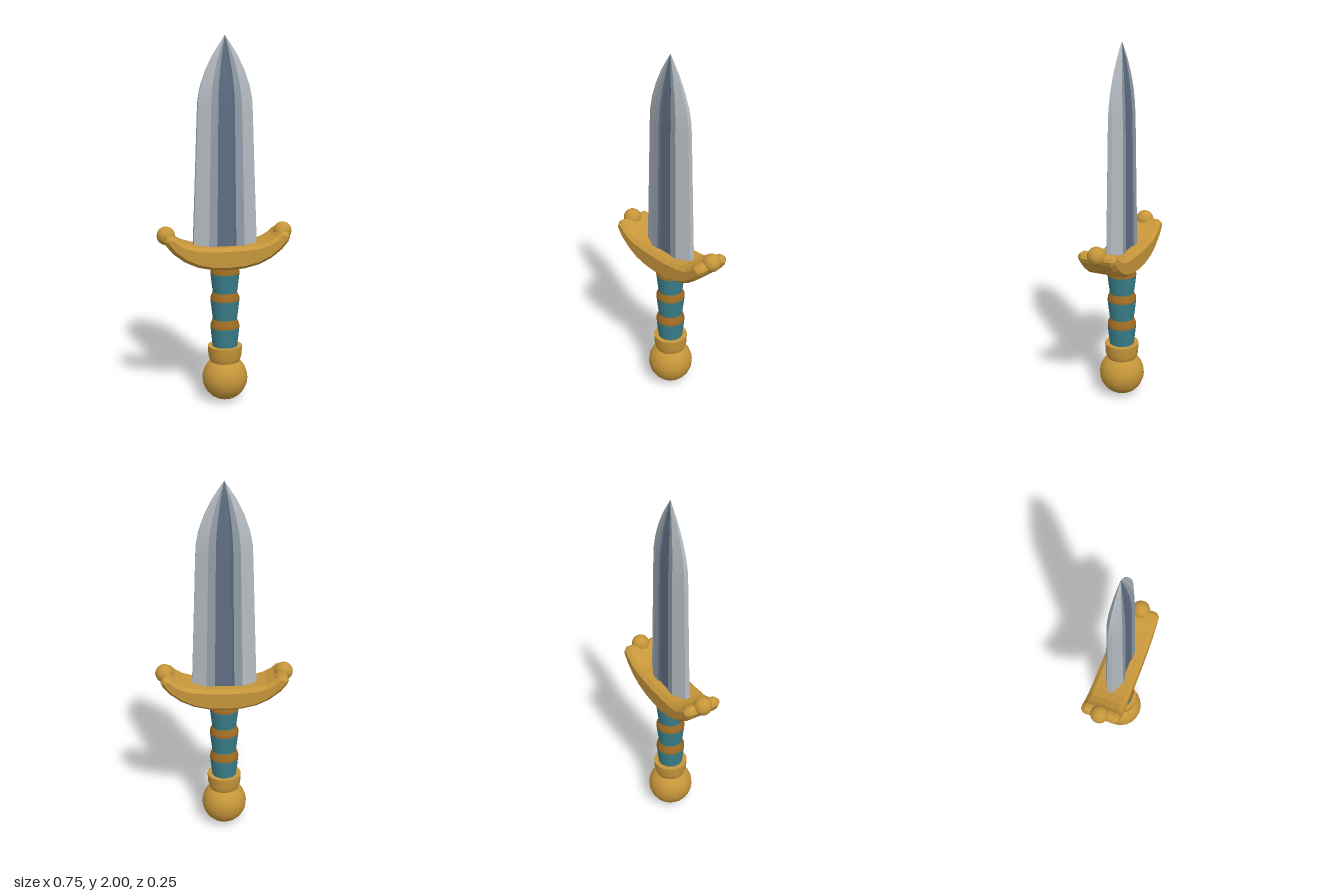
import * as THREE from 'three';

const mat = (name, color, extra = {}) => {
  const m = new THREE.MeshStandardMaterial({ color, ...extra });
  m.name = name;
  return m;
};

export function createModel() {
  const gold = mat('gold', 0xc6963a);
  const bronze = mat('bronze', 0xa06c22);
  const teal = mat('teal leather', 0x3a808c);
  const edgeSteel = mat('edge steel', 0xb4bbc0);
  const steel = mat('steel', 0x929da8);
  const darkSteel = mat('dark steel', 0x5f6e82);

  const model = new THREE.Group();
  model.name = 'dagger';
  const add = (name, geo, material, x = 0, y = 0, z = 0, parent = model) => {
    const m = new THREE.Mesh(geo, material);
    m.name = name;
    m.position.set(x, y, z);
    parent.add(m);
    return m;
  };
  const lathe = (pts) =>
    new THREE.LatheGeometry(pts.map(([r, y]) => new THREE.Vector2(r, y)), 24);

  // Pommel and collar
  add('pommel', new THREE.SphereGeometry(0.126, 20, 14), gold, 0, 0.126);
  add('collarSide', lathe([[0.076, 0.21], [0.084, 0.228], [0.092, 0.255], [0.095, 0.31]]), gold);
  add('collarTop', lathe([[0.095, 0.31], [0.0, 0.31]]), gold);

  // Grip: three flared leather sections, each capped by a tapering ring
  const grip = new THREE.Group();
  grip.name = 'grip';
  model.add(grip);
  [[0.3, 0.416, 0.464], [0.464, 0.572, 0.616], [0.616, 0.722, 0.775]].forEach(([y0, y1, y2]) => {
    add('gripSection', lathe([[0.067, y0], [0.074, (y0 + y1) / 2], [0.08, y1]]), teal, 0, 0, 0, grip);
    add('gripRing', lathe([[0.08, y1], [0.079, y1 + 0.018], [0.067, y2]]), bronze, 0, 0, 0, grip);
  });

  // Crossguard: bevelled crescent extruded through z
  const half = [
    [0, 0.755], [0.09, 0.761], [0.17, 0.779], [0.24, 0.812], [0.3, 0.858], [0.335, 0.9], [0.345, 0.925],
    [0.335, 0.945], [0.315, 0.955], [0.292, 0.95], [0.265, 0.925], [0.225, 0.903], [0.175, 0.888], [0.09, 0.88], [0, 0.878],
  ];
  const outline = [...half, ...half.slice(1, -1).reverse().map(([x, y]) => [-x, y])];
  const guard = new THREE.ExtrudeGeometry(
    new THREE.Shape(outline.map(([x, y]) => new THREE.Vector2(x, y))),
    { depth: 0.17, bevelEnabled: true, bevelThickness: 0.022, bevelSize: 0.018, bevelOffset: -0.018, bevelSegments: 1 },
  );
  guard.translate(0, 0, -0.085);
  add('crossguard', guard, gold);
  for (const s of [-1, 1])
    add('guardBall', new THREE.SphereGeometry(0.05, 16, 12), gold, s * 0.325, 0.943);

  // Blade: lengthwise strips through scaled cross-sections [y, half width, half depth]
  const levels = [
    [0.82, 0.178, 0.05], [1.2, 0.164, 0.046], [1.6, 0.15, 0.042], [1.67, 0.146, 0.039], [1.74, 0.132, 0.034],
    [1.82, 0.104, 0.026], [1.9, 0.065, 0.016], [1.96, 0.027, 0.007], [2.0, 0, 0],
  ];
  const strip = (a, b) => {
    const pos = [], idx = [];
    levels.forEach(([y, w, d], i) => {
      pos.push(a[0] * w, y, a[1] * d, b[0] * w, y, b[1] * d);
      if (i) {
        const k = 2 * i - 2;
        idx.push(k, k + 1, k + 3, k, k + 3, k + 2);
      }
    });
    const g = new THREE.BufferGeometry();
    g.setAttribute('position', new THREE.Float32BufferAttribute(pos, 3));
    g.setIndex(idx);
    g.computeVertexNormals();
    return g;
  };
  const blade = new THREE.Group();
  blade.name = 'blade';
  model.add(blade);
  // Front half of the section, left to right, in fractions of half width and depth
  const section = [[-1, 0.28], [-0.56, 1], [-0.3, 0.98], [-0.22, 0.84], [0.22, 0.84], [0.3, 0.98], [0.56, 1], [1, 0.28]];
  const parts = [
    ['bladeBevel', edgeSteel], ['bladeFlat', steel], ['fullerWall', darkSteel], ['fuller', darkSteel],
    ['fullerWall', darkSteel], ['bladeFlat', steel], ['bladeBevel', edgeSteel],
  ];
  for (const s of [1, -1]) {
    const turn = ([x, z]) => [s * x, s * z];
    parts.forEach(([name, m], i) =>
      add(name, strip(turn(section[i]), turn(section[i + 1])), m, 0, 0, 0, blade));
    add('bladeEdge', strip(turn([1, 0.28]), turn([1, -0.28])), edgeSteel, 0, 0, 0, blade);
  }
  return model;
}
